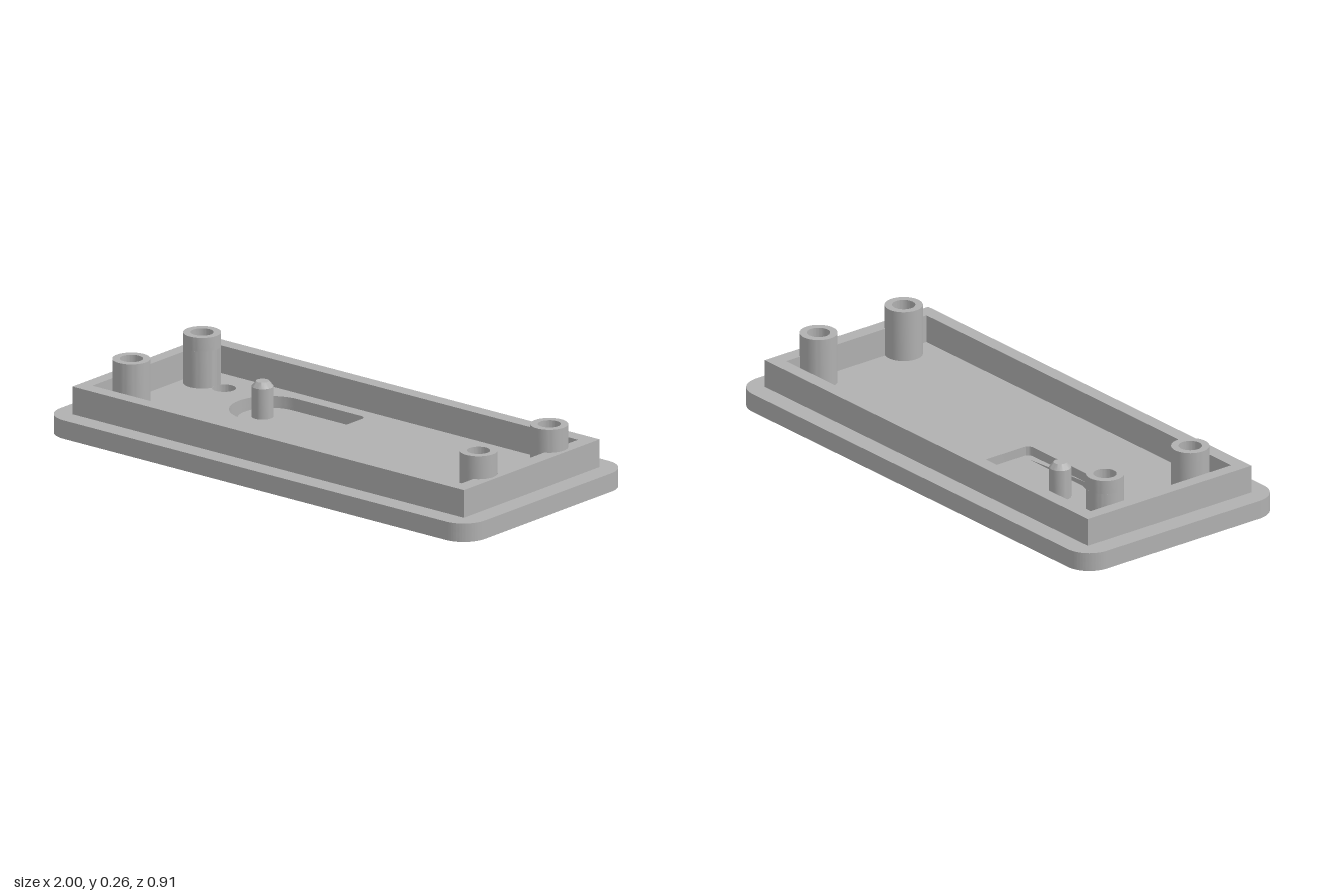
import * as THREE from 'three';
import { toCreasedNormals } from 'three/addons/utils/BufferGeometryUtils.js';

const PI = Math.PI;

// Shapes are drawn in plan: shape x = model x, shape y = model z.
function slab(shape, bottom, top) {
  const geo = new THREE.ExtrudeGeometry(shape, { depth: top - bottom, bevelEnabled: false, curveSegments: 24 });
  geo.rotateX(PI / 2).translate(0, top, 0);
  return toCreasedNormals(geo, 0.6);
}

function circle(x, z, r) {
  return new THREE.Path().absarc(x, z, r, 0, 2 * PI, false);
}

function roundedRect(w, d, r) {
  const s = new THREE.Shape();
  s.absarc(w - r, d - r, r, 0, PI / 2, false);
  s.absarc(-w + r, d - r, r, PI / 2, PI, false);
  s.absarc(-w + r, -d + r, r, PI, 1.5 * PI, false);
  s.absarc(w - r, -d + r, r, 1.5 * PI, 2 * PI, false);
  s.closePath();
  return s;
}

export function createModel() {
  const model = new THREE.Group();
  model.name = 'enclosureCover';
  const grey = new THREE.MeshStandardMaterial({ color: 0xb0b0b0 });
  grey.name = 'grey plastic';

  const add = (name, geo) => {
    const mesh = new THREE.Mesh(geo, grey);
    mesh.name = name;
    model.add(mesh);
    return mesh;
  };

  const floorY = 0.07, tongueY = 0.035, rimY = 0.175, postY = 0.262;
  const holeX = -0.695, holeZ = -0.2, holeR = 0.043;
  const cx = -0.412, cz = -0.124, outerR = 0.15, innerR = 0.121;

  // Lower plate layer with the U-shaped slot that frees the tongue
  const lower = roundedRect(1, 0.455, 0.1);
  const slot = new THREE.Path();
  slot.moveTo(-0.118, cz + outerR);
  slot.absarc(cx, cz, outerR, PI / 2, 1.5 * PI, false);
  slot.lineTo(-0.118, cz - outerR);
  slot.lineTo(-0.118, cz - innerR);
  slot.absarc(cx, cz, innerR, 1.5 * PI, PI / 2, true);
  slot.lineTo(-0.118, cz + innerR);
  slot.closePath();
  lower.holes.push(slot, circle(holeX, holeZ, holeR));
  add('basePlateLower', slab(lower, 0, tongueY));

  // Upper plate layer with the pocket above the tongue
  const upper = roundedRect(1, 0.455, 0.1);
  const pocket = new THREE.Path();
  const endX = -0.088, c = 0.025;
  pocket.absarc(cx, cz, outerR, PI / 2, 1.5 * PI, false);
  pocket.absarc(endX - c, cz - outerR + c, c, -PI / 2, 0, false);
  pocket.absarc(endX - c, cz + outerR - c, c, 0, PI / 2, false);
  pocket.closePath();
  upper.holes.push(pocket, circle(holeX, holeZ, holeR));
  add('basePlateUpper', slab(upper, tongueY, floorY));

  // Raised rim; its inner right wall makes room for the two right posts
  const postR = 0.069, boreR = 0.042, leftX = -0.797, rightX = 0.838, postZ = 0.198;
  const rim = new THREE.Shape([[-0.922, -0.38], [0.922, -0.38], [0.922, 0.38], [-0.922, 0.38]]
    .map(([x, z]) => new THREE.Vector2(x, z)));
  const inside = new THREE.Path();
  const bite = Math.acos((0.866 - rightX) / postR);
  inside.moveTo(-0.873, -0.326);
  inside.lineTo(0.866, -0.326);
  for (const z of [-postZ, postZ]) inside.absarc(rightX, z, postR, -bite, bite, false);
  inside.lineTo(0.866, 0.326);
  inside.lineTo(-0.873, 0.326);
  inside.closePath();
  rim.holes.push(inside);
  add('rim', slab(rim, floorY, rimY));

  // Hollow screw posts
  const post = (x, z, bottom, name) => {
    const s = new THREE.Shape();
    s.absarc(x, z, postR, 0, 2 * PI, false);
    s.holes.push(circle(x, z, boreR));
    add(name, slab(s, bottom, postY));
  };
  const notchTop = 0.21;
  post(rightX, -postZ, floorY, 'screwPostBackLeft');
  post(rightX, postZ, floorY, 'screwPostFrontLeft');
  post(leftX, postZ, floorY, 'screwPostFrontRight');
  post(leftX, -postZ, notchTop, 'screwPostBackRightTop');

  // Lower part of the back right post, grooved by the round hole beside it
  const d = holeX - leftX;
  const a = (d * d + postR * postR - holeR * holeR) / (2 * d);
  const postAngle = Math.acos(a / postR), holeAngle = Math.acos((d - a) / holeR);
  const grooved = new THREE.Shape();
  grooved.absarc(leftX, -postZ, postR, postAngle, 2 * PI - postAngle, false);
  grooved.absarc(holeX, -postZ, holeR, PI + holeAngle, PI - holeAngle, true);
  grooved.closePath();
  grooved.holes.push(circle(leftX, -postZ, boreR));
  add('screwPostBackRightGrooved', slab(grooved, floorY, notchTop));

  // Button pin with a chamfered tip, standing on the tongue
  const profile = [[0.04, tongueY], [0.04, 0.15], [0.024, 0.17], [0, 0.17]]
    .map(([x, y]) => new THREE.Vector2(x, y));
  const pin = add('buttonPin', toCreasedNormals(new THREE.LatheGeometry(profile, 32), 0.6));
  pin.position.set(-0.45, 0, cz);

  return model;
}
